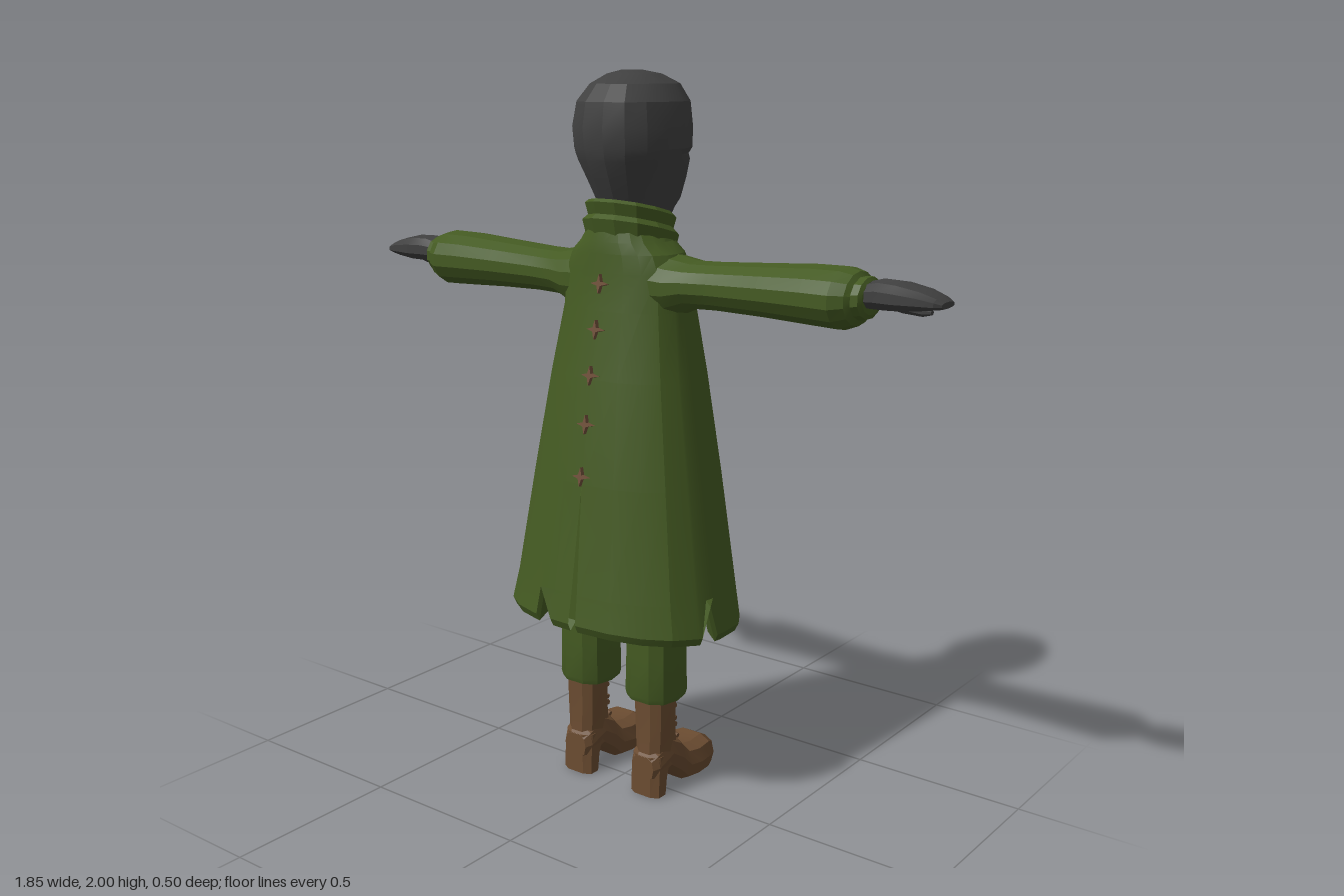
import * as THREE from 'three';
import { toCreasedNormals } from 'three/addons/utils/BufferGeometryUtils.js';

const mat = (name, color) => {
  const m = new THREE.MeshStandardMaterial({ color });
  m.name = name;
  return m;
};
const pw = (v, p) => Math.sign(v) * Math.abs(v) ** (2 / p);

// Superellipse loop; axis is the direction the loft runs along.
function ring(axis, c, a, b, n = 12, p = 2) {
  return Array.from({ length: n }, (_, i) => {
    const t = ((i + 0.5) / n) * Math.PI * 2;
    const u = a * pw(Math.sin(t), p), v = b * pw(Math.cos(t), p);
    const d = axis === 'y' ? [u, 0, v] : axis === 'x' ? [0, u, v] : [u, v, 0];
    return new THREE.Vector3(c[0] + d[0], c[1] + d[1], c[2] + d[2]);
  });
}

// Skin through equal-length loops, optionally capped, facing outwards.
function loft(rings, { closed = true, caps = true, crease = 0.32 } = {}) {
  const n = rings[0].length, pts = rings.flat().map((v) => v.clone()), idx = [];
  for (let r = 0; r < rings.length - 1; r++) {
    for (let i = 0; i < (closed ? n : n - 1); i++) {
      const a = r * n + i, b = r * n + ((i + 1) % n);
      idx.push(a, b, b + n, a, b + n, a + n);
    }
  }
  if (caps) {
    [0, rings.length - 1].forEach((r, end) => {
      const mid = new THREE.Vector3();
      rings[r].forEach((v) => mid.addScaledVector(v, 1 / n));
      const m = pts.push(mid) - 1;
      for (let i = 0; i < n; i++) {
        const a = r * n + i, b = r * n + ((i + 1) % n);
        idx.push(...(end ? [a, b, m] : [b, a, m]));
      }
    });
  }
  // flip the winding when the enclosed volume comes out negative
  const mid = new THREE.Vector3();
  pts.forEach((v) => mid.addScaledVector(v, 1 / pts.length));
  let volume = 0;
  for (let i = 0; i < idx.length; i += 3) {
    const [a, b, c] = [0, 1, 2].map((k) => pts[idx[i + k]].clone().sub(mid));
    volume += a.dot(b.cross(c));
  }
  if (volume < 0) idx.reverse();
  const g = new THREE.BufferGeometry().setFromPoints(pts);
  g.setIndex(idx);
  return toCreasedNormals(g, crease);
}

// Coat sections: y, half width, z of buttoned side, z of face side
const COAT = [
  [0.52, 0.338, 0.247, -0.25], [0.62, 0.318, 0.232, -0.243], [0.92, 0.27, 0.19, -0.216],
  [1.2, 0.222, 0.148, -0.186], [1.38, 0.19, 0.112, -0.158], [1.48, 0.183, 0.1, -0.138],
  [1.53, 0.16, 0.097, -0.128], [1.56, 0.125, 0.094, -0.12], [1.6, 0.1, 0.085, -0.115],
];
const NOTCHES = [0.222, 0.75, 0.96];

function coatGeometry() {
  const n = 20, ts = Array.from({ length: n + 1 }, (_, i) => i / n);
  NOTCHES.forEach((t) => ts.push(t - 0.016, t, t + 0.016));
  const list = [...new Set(ts)].sort((a, b) => a - b);
  const loop = ([y, w, zf, zb], row, inset = 0, drop = 0) => list.map((t) => {
    const a = t * Math.PI * 2, hem = row === 0;
    const c = (zf + zb) / 2, d = (zf - zb) / 2 - inset;
    let x = (w - inset) * pw(Math.sin(a), 2.4);
    if (row < 2 && t === 0) x = hem ? 0.02 : 0.015; // open centre slit
    if (row < 2 && t === 1) x = -0.004;
    let yy = y - drop;
    if (hem) yy += 0.018 * Math.cos(a) + (NOTCHES.includes(t) ? 0.085 : 0);
    return new THREE.Vector3(x, yy, c + d * pw(Math.cos(a), 2.4));
  });
  // turned-in hem first, then up to the neck
  const rings = [loop(COAT[0], 0, 0.035, 0.0), loop(COAT[0], 0, 0.01, 0.022),
    ...COAT.map((row, i) => loop(row, i))];
  return loft(rings, { closed: false, caps: false });
}

function coatFront(y) {
  const i = COAT.findIndex((r) => r[0] >= y), a = COAT[i - 1], b = COAT[i];
  return a[2] + ((b[2] - a[2]) * (y - a[0])) / (b[0] - a[0]);
}

export function createModel() {
  const model = new THREE.Group();
  model.name = 'coatedFigure';
  const green = mat('coatGreen', 0x445a22);
  green.side = THREE.DoubleSide;
  const dark = mat('charcoal', 0x404040);
  const leather = mat('bootBrown', 0x6b4c31);
  const buttonMat = mat('buttonBrown', 0x70503a);
  const add = (name, geo, m, parent = model) => {
    const mesh = new THREE.Mesh(geo, m);
    mesh.name = name;
    parent.add(mesh);
    return mesh;
  };

  add('coat', coatGeometry(), green);

  // Folded collar, tilted down towards the face: y, radius x, radius z
  const collar = [[1.53, 0.115, 0.11], [1.59, 0.127, 0.127], [1.605, 0.112, 0.112],
    [1.635, 0.118, 0.122], [1.645, 0.108, 0.112], [1.6, 0.095, 0.098]];
  add('collar', loft(collar.map(([y, a, b]) => ring('y', [0, y, -0.026], a, b, 12, 2.2)
    .map((v) => v.setY(y + 0.25 * (v.z + 0.026)))), { caps: false }), green);

  // Head: y, half width, z of back of skull, z of face
  const head = [[1.58, 0.08, 0.05, -0.12], [1.64, 0.085, 0.06, -0.175], [1.665, 0.094, 0.075, -0.2],
    [1.72, 0.114, 0.102, -0.21], [1.77, 0.134, 0.126, -0.207], [1.785, 0.139, 0.13, -0.192],
    [1.8, 0.145, 0.134, -0.206], [1.855, 0.148, 0.14, -0.206], [1.92, 0.137, 0.13, -0.204],
    [1.965, 0.106, 0.092, -0.18], [1.99, 0.066, 0.04, -0.12], [2.0, 0.025, 0, -0.06]];
  add('head', loft(head.map(([y, w, zb, zf]) =>
    ring('y', [0, y, (zb + zf) / 2], w, (zb - zf) / 2, 16, 2.15))), dark);

  // Buttons: four-pointed studs
  const star = new THREE.Shape(Array.from({ length: 8 }, (_, i) => {
    const r = i % 2 ? 0.008 : 0.026, a = (i * Math.PI) / 4;
    return new THREE.Vector2(r * Math.cos(a), r * Math.sin(a));
  }));
  const stud = new THREE.ExtrudeGeometry(star, { depth: 0.02, bevelEnabled: false });
  for (const y of [1.45, 1.33, 1.21, 1.08, 0.94]) {
    const b = add('button', stud, buttonMat);
    b.position.set(0, y, coatFront(y) - 0.008);
    b.rotation.x = -0.13;
  }

  for (const s of [1, -1]) {
    const side = s > 0 ? 'left' : 'right';

    // Sleeve: x, y, z, radius y, radius z
    const along = (rows, n, p) => loft(rows.map(([x, y, z, a, b]) => ring('x', [s * x, y, z], a, b, n, p)));
    add(side + 'Sleeve', along([[0.08, 1.45, -0.02, 0.095, 0.1], [0.17, 1.447, -0.024, 0.08, 0.098],
      [0.22, 1.453, -0.028, 0.064, 0.09], [0.3, 1.455, -0.031, 0.064, 0.085],
      [0.45, 1.458, -0.033, 0.07, 0.092], [0.58, 1.459, -0.037, 0.077, 0.101],
      [0.66, 1.458, -0.037, 0.079, 0.102], [0.695, 1.46, -0.037, 0.068, 0.082],
      [0.71, 1.462, -0.037, 0.045, 0.06]], 14), green);
    add(side + 'Cuff', along([[0.698, 1.462, -0.037, 0.05, 0.06], [0.705, 1.462, -0.037, 0.055, 0.068],
      [0.724, 1.464, -0.037, 0.053, 0.065], [0.73, 1.465, -0.037, 0.042, 0.052]], 12), green);

    // Mitten hand and thumb
    add(side + 'Hand', along([[0.71, 1.47, -0.037, 0.032, 0.042], [0.76, 1.476, -0.04, 0.039, 0.058],
      [0.81, 1.476, -0.04, 0.037, 0.067], [0.87, 1.473, -0.043, 0.027, 0.06],
      [0.91, 1.468, -0.046, 0.016, 0.048], [0.925, 1.465, -0.048, 0.008, 0.034]], 10, 2.2), dark);
    add(side + 'Thumb', along([[0.74, 1.462, -0.065, 0.018, 0.02], [0.79, 1.445, -0.088, 0.018, 0.022],
      [0.84, 1.436, -0.095, 0.014, 0.017], [0.862, 1.434, -0.095, 0.006, 0.008]], 8), dark);

    // Trouser leg
    add(side + 'TrouserLeg', loft([[0.285, 0.076, 0.078], [0.3, 0.079, 0.083], [0.42, 0.076, 0.082],
      [0.6, 0.078, 0.085], [0.85, 0.08, 0.088]].map(([y, a, b]) =>
      ring('y', [s * 0.118, y, 0.008], a, b, 10, 2.6))), green);

    // Boot: shaft, heel, foot and laces
    const boot = new THREE.Group();
    boot.name = side + 'Boot';
    boot.position.x = s * 0.123;
    model.add(boot);
    add('shaft', loft([[0.08, 0.05, 0.062, 0.013], [0.14, 0.05, 0.06, 0.013], [0.2, 0.053, 0.053, 0.018],
      [0.32, 0.056, 0.056, 0.018]].map(([y, a, b, z]) => ring('y', [0, y, z], a, b, 10, 2.4))), leather, boot);
    add('heel', loft([[0, 0.052, 0.03, 0.05], [0.05, 0.052, 0.034, 0.046], [0.12, 0.05, 0.05, 0.03]]
      .map(([y, a, b, z]) => ring('y', [0, y, z], a, b, 8, 3))), leather, boot);
    // z, sole y, upper y, half width
    add('foot', loft([[0.078, 0.05, 0.12, 0.038], [0.06, 0.04, 0.14, 0.05], [0.0, 0.06, 0.17, 0.054],
      [-0.04, 0.03, 0.15, 0.06], [-0.07, 0.0, 0.115, 0.068], [-0.11, 0.0, 0.11, 0.076],
      [-0.16, 0.0, 0.114, 0.073], [-0.195, 0.002, 0.095, 0.056], [-0.21, 0.012, 0.07, 0.036]]
      .map(([z, lo, hi, w]) => ring('z', [0, (lo + hi) / 2, z], w, (hi - lo) / 2, 10, 2.8))), leather, boot);
    for (let i = 0; i < 5; i++) {
      const lace = add('lace', new THREE.CylinderGeometry(0.008, 0.008, 0.06, 6), leather, boot);
      lace.position.set(0, 0.15 + i * 0.029, i ? -0.041 + i * 0.001 : -0.05);
      lace.rotation.z = Math.PI / 2 + (i % 2 ? 0.2 : -0.2);
    }
  }
  return model;
}
